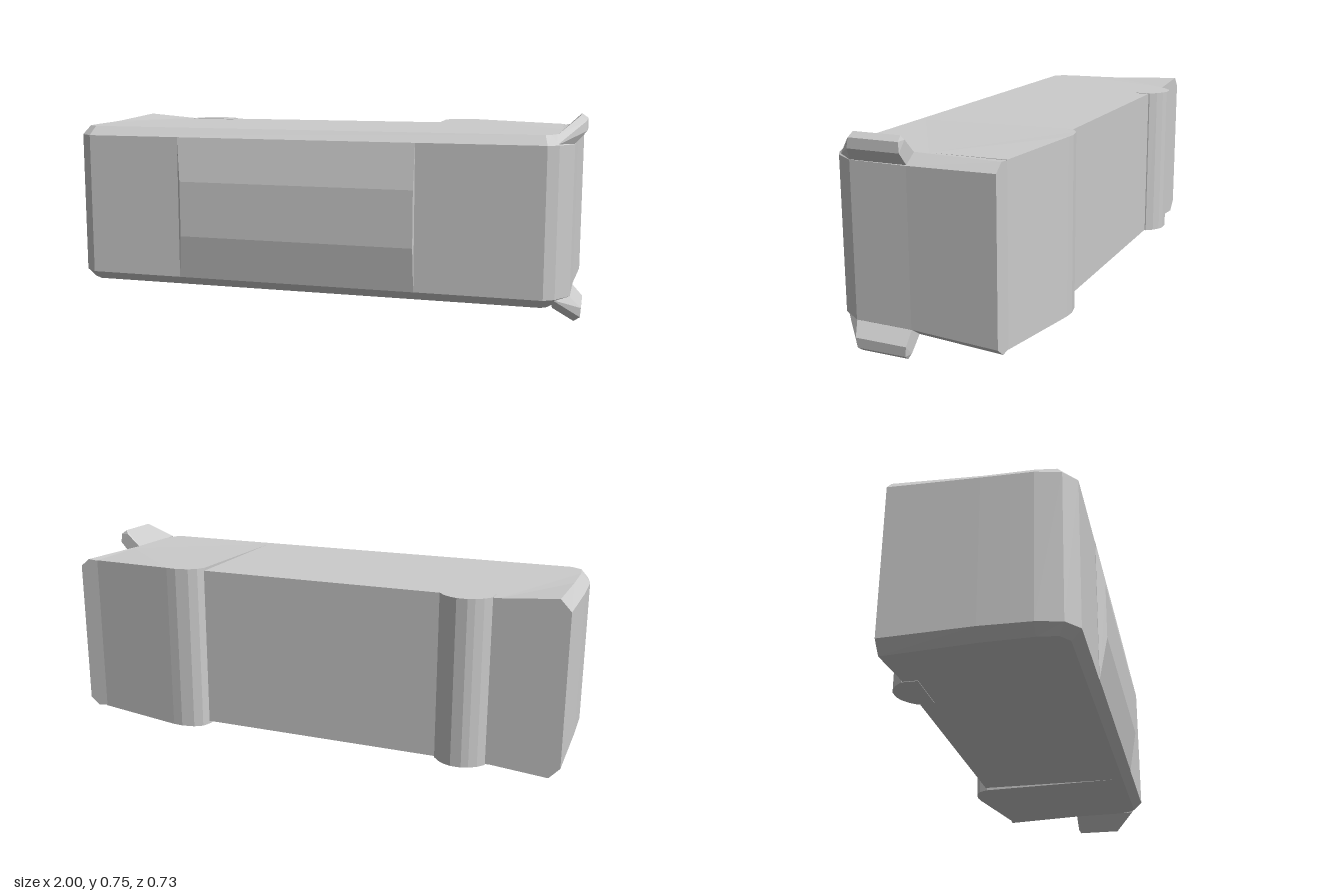
import * as THREE from 'three';
import { ConvexGeometry } from 'three/addons/geometries/ConvexGeometry.js';

const MID = 0.3775; // height of the mirror plane between upper and lower halves

// Flat-sided solid through matching rings of [x, height, z], bottom to top, capped at both ends
function loft(rings) {
  const n = rings[0].length;
  const pos = [];
  const put = (...pts) => pts.forEach((p) => pos.push(...p));
  for (let k = 0; k < rings.length - 1; k++) {
    const lo = rings[k], hi = rings[k + 1];
    for (let i = 0; i < n; i++) {
      const j = (i + 1) % n;
      put(lo[i], lo[j], hi[j], lo[i], hi[j], hi[i]);
    }
  }
  const cap = (ring, up) => {
    const flat = ring.map((p) => new THREE.Vector2(p[0], p[2]));
    for (const [a, b, c] of THREE.ShapeUtils.triangulateShape(flat, [])) {
      const facesUp = THREE.ShapeUtils.area([flat[a], flat[b], flat[c]]) < 0;
      if (facesUp === up) put(ring[a], ring[b], ring[c]);
      else put(ring[a], ring[c], ring[b]);
    }
  };
  cap(rings[0], false);
  cap(rings[rings.length - 1], true);
  const g = new THREE.BufferGeometry();
  g.setAttribute('position', new THREE.Float32BufferAttribute(pos, 3));
  g.computeVertexNormals();
  return g;
}

const flip = (ring) => ring.map(([x, y, z]) => [x, 2 * MID - y, z]);
const hull = (pts) => new ConvexGeometry(pts.map((p) => new THREE.Vector3(...p)));

export function createModel() {
  const group = new THREE.Group();
  const material = new THREE.MeshStandardMaterial({ color: 0xcccccc, flatShading: true });
  const add = (name, geometry) => {
    const mesh = new THREE.Mesh(geometry, material);
    mesh.name = name;
    group.add(mesh);
  };

  // Main body: wall ring and a smaller ring that forms the bevel; rear corners flare a little
  const wall = [
    [-1, 0.664, -0.305], [-1, 0.655, 0.02], [-0.995, 0.655, 0.2], [-0.975, 0.655, 0.29],
    [-0.92, 0.655, 0.335], [0.87, 0.655, 0.335], [0.91, 0.655, 0.31], [0.96, 0.655, 0.235],
    [0.962, 0.655, 0.02], [0.978, 0.664, -0.305], [0.9, 0.655, -0.305], [-0.75, 0.655, -0.305],
  ];
  const rim = [
    [-0.96, 0.707, -0.305], [-0.96, 0.692, 0.02], [-0.96, 0.69, 0.2], [-0.95, 0.69, 0.27],
    [-0.91, 0.69, 0.3], [0.86, 0.69, 0.3], [0.88, 0.69, 0.285], [0.905, 0.69, 0.22],
    [0.91, 0.69, 0.02], [0.94, 0.694, -0.305], [0.9, 0.69, -0.305], [-0.75, 0.69, -0.305],
  ];
  add('body', loft([flip(rim), flip(wall), wall, rim]));

  // Rear hump, tapering to the right end and running forward as a thin wedge
  const hump = [
    [0.405, 0.69, 0.27], [0.9, 0.69, -0.03], [0.9, 0.692, -0.305], [0.54, 0.702, -0.362],
    [0.5, 0.702, -0.365], [0.45, 0.702, -0.355], [0.42, 0.702, -0.335], [0.405, 0.701, -0.3],
  ];
  add('rearHump', loft([flip(hump), hump]));

  // Rounded upright rib on the rear
  const rib = [
    [-0.73, -0.25], [-0.54, -0.25], [-0.54, -0.31], [-0.562, -0.337], [-0.59, -0.356],
    [-0.615, -0.365], [-0.655, -0.365], [-0.68, -0.356], [-0.708, -0.337], [-0.73, -0.31],
  ].map(([x, z]) => [x, 0.692, z]);
  add('rearRib', loft([flip(rib), rib]));

  // Bulging front panel
  const panelEnd = [
    [-0.54, 0.655, 0.32], [-0.54, 0.655, 0.336], [-0.52, 0.485, 0.365],
    [0.4, 0.485, 0.365], [0.4, 0.655, 0.336], [0.4, 0.655, 0.32],
  ];
  add('frontPanel', hull([...panelEnd, ...flip(panelEnd)]));

  // Angled lugs at the left end, one above and one below
  const lug = [
    [0.9, 0.68, 0.02], [0.965, 0.74, 0.02], [0.975, 0.755, 0.028], [0.998, 0.738, 0.024],
    [1, 0.702, 0.02], [0.958, 0.655, 0.02], [0.9, 0.655, 0.02],
    [0.975, 0.755, 0.205], [0.998, 0.738, 0.21], [1, 0.702, 0.215],
    [0.958, 0.655, 0.235], [0.9, 0.655, 0.31], [0.9, 0.69, 0.285],
  ];
  add('upperLug', hull(lug));
  add('lowerLug', hull(flip(lug)));

  return group;
}
